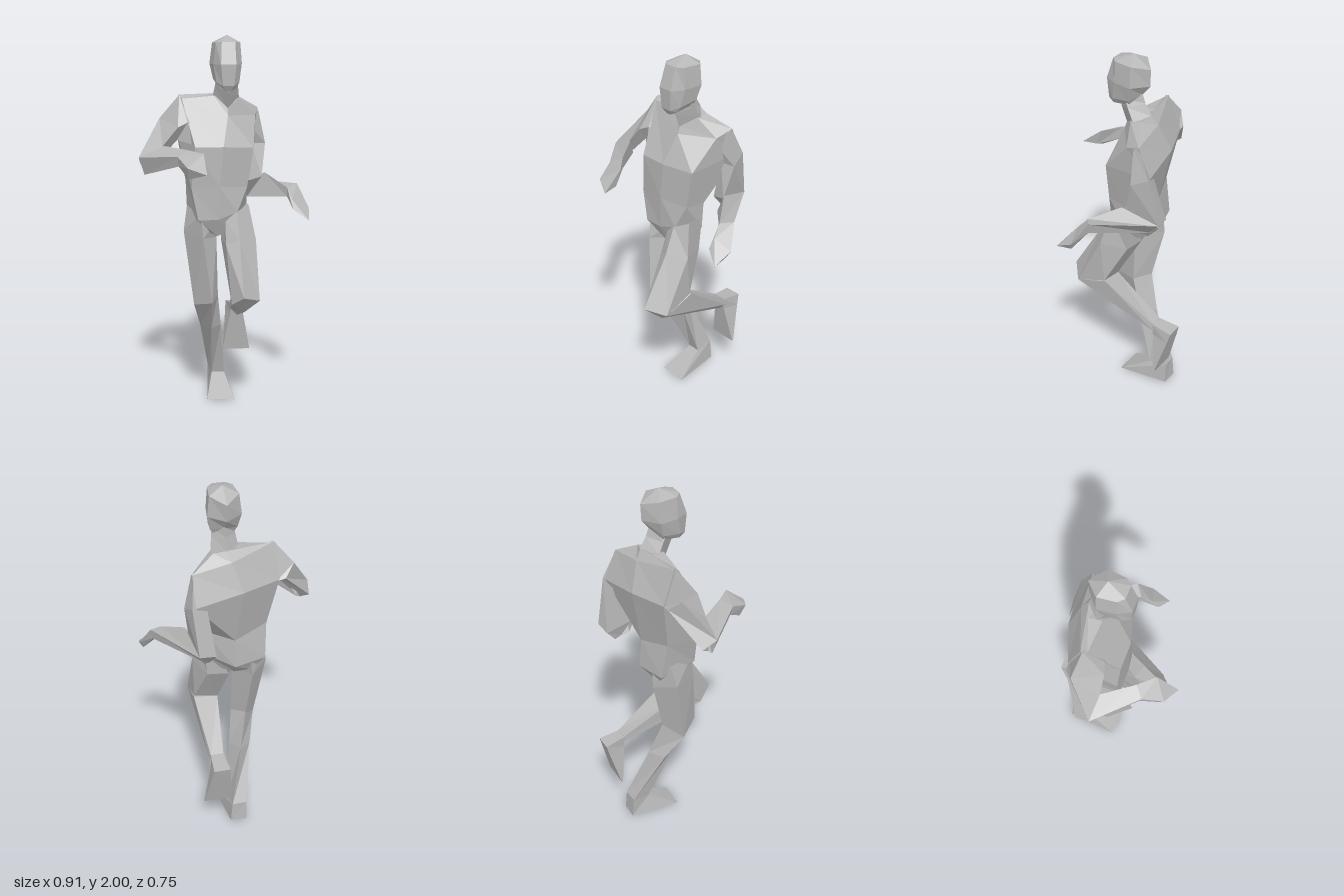
import * as THREE from 'three';

// Skin a list of rings (equal point counts; a lone point is an apex) into a closed, faceted solid.
function loft(rings) {
  const n = Math.max(...rings.map(r => r.length));
  const full = rings.map(r => (r.length === 1 ? Array(n).fill(r[0]) : r).map(p => new THREE.Vector3(...p)));
  const tris = [];
  for (let i = 0; i + 1 < full.length; i++) {
    for (let j = 0; j < n; j++) {
      const k = (j + 1) % n, a = full[i][j], b = full[i][k], c = full[i + 1][k], d = full[i + 1][j];
      tris.push([a, b, c], [a, c, d]);
    }
  }
  // end caps
  const cap = (ring, flip) => {
    const mid = ring.reduce((s, p) => s.add(p), new THREE.Vector3()).divideScalar(n);
    ring.forEach((p, j) => {
      const q = ring[(j + 1) % n];
      tris.push(flip ? [mid, q, p] : [mid, p, q]);
    });
  };
  cap(full[0], true);
  cap(full[full.length - 1], false);
  // turn faces outward, drop collapsed ones
  const volume = tris.reduce((s, [a, b, c]) => s + a.dot(b.clone().cross(c)), 0);
  const pos = [];
  for (const [a, b, c] of tris) {
    const area = b.clone().sub(a).cross(c.clone().sub(a)).length();
    if (area < 1e-8) continue;
    for (const p of volume < 0 ? [a, c, b] : [a, b, c]) pos.push(p.x, p.y, p.z);
  }
  const g = new THREE.BufferGeometry();
  g.setAttribute('position', new THREE.Float32BufferAttribute(pos, 3));
  g.computeVertexNormals();
  return g;
}

// Head ring, symmetric about its centre: two front, two side and two side-front points, one back.
function headRing(x, front, frontHalf, side, sideHalf, back) {
  const [fy, fz] = front, [sy, sz] = side, [by, bz] = back;
  return [
    [x - frontHalf, fy, fz], [x + frontHalf, fy, fz],
    [x + sideHalf * 0.86, (fy + sy) / 2, sz + 0.1], [x + sideHalf, sy, sz],
    [x, by, bz],
    [x - sideHalf, sy, sz], [x - sideHalf * 0.86, (fy + sy) / 2, sz + 0.1],
  ];
}

export function createModel() {
  const body = new THREE.MeshStandardMaterial({ color: 0xb6b6b6 });
  body.name = 'plain grey';
  const model = new THREE.Group();
  model.name = 'runningFigure';
  const add = (name, rings) => {
    const mesh = new THREE.Mesh(loft(rings), body);
    mesh.name = name;
    model.add(mesh);
  };

  // Head, turned slightly downward
  add('head', [
    [[0.02, 2.0, -0.055]],
    headRing(0.018, [1.965, 0.045], 0.035, [1.96, -0.085], 0.075, [1.936, -0.154]),
    headRing(0.016, [1.85, 0.082], 0.04, [1.85, -0.085], 0.087, [1.846, -0.15]),
    headRing(0.016, [1.74, 0.077], 0.03, [1.77, -0.065], 0.07, [1.79, -0.105]),
    headRing(0.016, [1.71, 0.06], 0.014, [1.74, -0.06], 0.05, [1.76, -0.09]),
  ]);

  // Neck
  add('neck', [
    [[0.02, 1.73, 0.02], [0.075, 1.77, -0.04], [0.02, 1.82, -0.10], [-0.04, 1.77, -0.04]],
    [[0.02, 1.70, 0.02], [0.08, 1.73, -0.06], [0.02, 1.75, -0.125], [-0.045, 1.73, -0.06]],
    [[0.02, 1.615, -0.015], [0.09, 1.66, -0.10], [0.02, 1.69, -0.16], [-0.055, 1.67, -0.09]],
  ]);

  // Torso, twisted toward its left: front right, middle, left, then back left, middle, right
  add('torso', [
    [[-0.05, 1.68, -0.06], [0.02, 1.62, -0.016], [0.085, 1.665, -0.08],
      [0.085, 1.675, -0.14], [0.02, 1.69, -0.155], [-0.06, 1.685, -0.13]],
    [[-0.22, 1.665, -0.07], [0.02, 1.58, 0.0], [0.18, 1.57, -0.12],
      [0.205, 1.605, -0.21], [0.0, 1.64, -0.19], [-0.235, 1.685, -0.1]],
    [[-0.16, 1.42, 0.077], [-0.01, 1.42, 0.075], [0.155, 1.41, 0.025],
      [0.2, 1.45, -0.275], [-0.05, 1.49, -0.243], [-0.25, 1.5, -0.167]],
    [[-0.18, 1.2, 0.065], [-0.03, 1.21, 0.075], [0.12, 1.2, 0.03],
      [0.135, 1.19, -0.08], [-0.02, 1.17, -0.18], [-0.2, 1.22, -0.12]],
    [[-0.145, 1.03, 0.07], [-0.04, 1.03, 0.07], [0.065, 1.07, 0.06],
      [0.125, 1.04, -0.08], [-0.02, 1.01, -0.193], [-0.19, 1.02, -0.15]],
    [[-0.09, 0.96, 0.03], [-0.04, 0.935, 0.03], [0.02, 0.96, 0.03],
      [0.06, 0.94, -0.07], [-0.03, 0.93, -0.12], [-0.12, 0.94, -0.13]],
  ]);

  // Right arm, raised and bent across the front
  add('rightUpperArm', [
    [[-0.22, 1.68, -0.09], [-0.15, 1.55, -0.02], [-0.14, 1.43, 0.03], [-0.2, 1.47, -0.14]],
    [[-0.232, 1.685, -0.09], [-0.195, 1.545, 0.008], [-0.17, 1.43, 0.04], [-0.235, 1.49, -0.165]],
    [[-0.338, 1.56, -0.115], [-0.248, 1.52, 0.025], [-0.25, 1.45, -0.02], [-0.285, 1.5, -0.163]],
    [[-0.455, 1.365, 0.02], [-0.33, 1.42, 0.03], [-0.41, 1.28, 0.0], [-0.445, 1.32, -0.055]],
  ]);
  const rightWrist = [[-0.26, 1.39, 0.225], [-0.207, 1.42, 0.18], [-0.21, 1.355, 0.18], [-0.255, 1.34, 0.215]];
  add('rightForearm', [
    [[-0.455, 1.365, 0.02], [-0.32, 1.425, 0.03], [-0.38, 1.31, -0.04], [-0.425, 1.27, 0.01]],
    rightWrist,
  ]);
  add('rightHand', [
    rightWrist,
    [[-0.217, 1.345, 0.33], [-0.13, 1.41, 0.26], [-0.135, 1.32, 0.29], [-0.21, 1.285, 0.3]],
    [[-0.122, 1.315, 0.376]],
  ]);

  // Left arm, drawn back with the forearm swung outward
  add('leftUpperArm', [
    [[0.205, 1.59, -0.18], [0.2, 1.605, -0.21], [0.13, 1.58, -0.21], [0.12, 1.55, -0.13]],
    [[0.245, 1.41, -0.19], [0.22, 1.45, -0.278], [0.14, 1.42, -0.26], [0.165, 1.41, -0.175]],
    [[0.22, 1.23, -0.14], [0.195, 1.19, -0.327], [0.107, 1.18, -0.317], [0.13, 1.2, -0.16]],
    [[0.17, 1.12, -0.22], [0.16, 1.105, -0.26], [0.13, 1.11, -0.26], [0.14, 1.12, -0.22]],
  ]);
  const leftWrist = [[0.4, 1.205, -0.04], [0.34, 1.19, 0.005], [0.34, 1.14, 0.005], [0.39, 1.145, -0.03]];
  add('leftForearm', [
    [[0.195, 1.19, -0.327], [0.235, 1.255, -0.13], [0.15, 1.115, -0.17], [0.15, 1.1, -0.255]],
    leftWrist,
  ]);
  add('leftHand', [
    leftWrist,
    [[0.454, 1.085, 0.034], [0.36, 1.13, 0.06], [0.36, 1.085, 0.098], [0.43, 1.04, 0.05]],
    [[0.44, 1.03, 0.137]],
  ]);

  // Right leg, carrying the weight: front, outer, back and inner edges
  const rightKnee = [[-0.075, 0.585, 0.118], [-0.165, 0.55, 0.0], [-0.1, 0.63, -0.1], [-0.033, 0.6, -0.02]];
  const rightAnkle = [[-0.055, 0.105, -0.17], [-0.07, 0.12, -0.27], [0.01, 0.12, -0.276], [0.015, 0.105, -0.17]];
  add('rightThigh', [
    [[-0.13, 1.06, 0.06], [-0.195, 1.08, -0.1], [-0.11, 1.04, -0.165], [-0.05, 1.0, 0.0]],
    [[-0.12, 0.93, 0.078], [-0.215, 0.95, -0.07], [-0.12, 0.92, -0.165], [-0.04, 0.92, -0.03]],
    rightKnee,
  ]);
  add('rightShin', [
    rightKnee,
    [[-0.07, 0.41, -0.01], [-0.125, 0.41, -0.1], [-0.06, 0.43, -0.165], [-0.012, 0.41, -0.08]],
    rightAnkle,
  ]);
  add('rightFoot', [
    rightAnkle,
    [[-0.095, 0.005, 0], [-0.07, 0.005, -0.28], [0.02, 0.005, -0.28], [0.058, 0, 0.005]],
  ]);

  // Left leg, lifted with the shin folded back
  add('leftThigh', [
    [[0, 1.03, 0.05], [0.06, 1.07, 0.065], [0.13, 1.1, 0.02], [0.125, 1.1, -0.08], [0, 0.99, -0.14]],
    [[0, 0.9, 0.1], [0.07, 0.93, 0.13], [0.165, 0.92, 0.06], [0.11, 0.9, -0.075], [-0.01, 0.9, -0.09]],
    [[0.02, 0.6, 0.21], [0.075, 0.655, 0.295], [0.168, 0.62, 0.215], [0.16, 0.68, 0.04], [0.03, 0.66, 0.04]],
  ]);
  add('leftShin', [
    [[0.075, 0.655, 0.295]],
    [[0.03, 0.66, 0.04], [0.165, 0.68, 0.03], [0.168, 0.62, 0.215], [0.09, 0.55, 0.18], [0.02, 0.6, 0.21]],
    [[0.06, 0.49, -0.26], [0.13, 0.49, -0.26], [0.135, 0.45, -0.265], [0.1, 0.41, -0.265], [0.06, 0.45, -0.265]],
  ]);
  add('leftFoot', [
    [[0.06, 0.49, -0.25], [0.13, 0.49, -0.25], [0.134, 0.47, -0.377], [0.044, 0.47, -0.375]],
    [[0.06, 0.42, -0.262], [0.13, 0.42, -0.262], [0.142, 0.41, -0.36], [0.04, 0.41, -0.36]],
    [[0.02, 0.2, -0.293], [0.175, 0.2, -0.293], [0.175, 0.2, -0.3], [0.02, 0.2, -0.3]],
  ]);

  return model;
}
